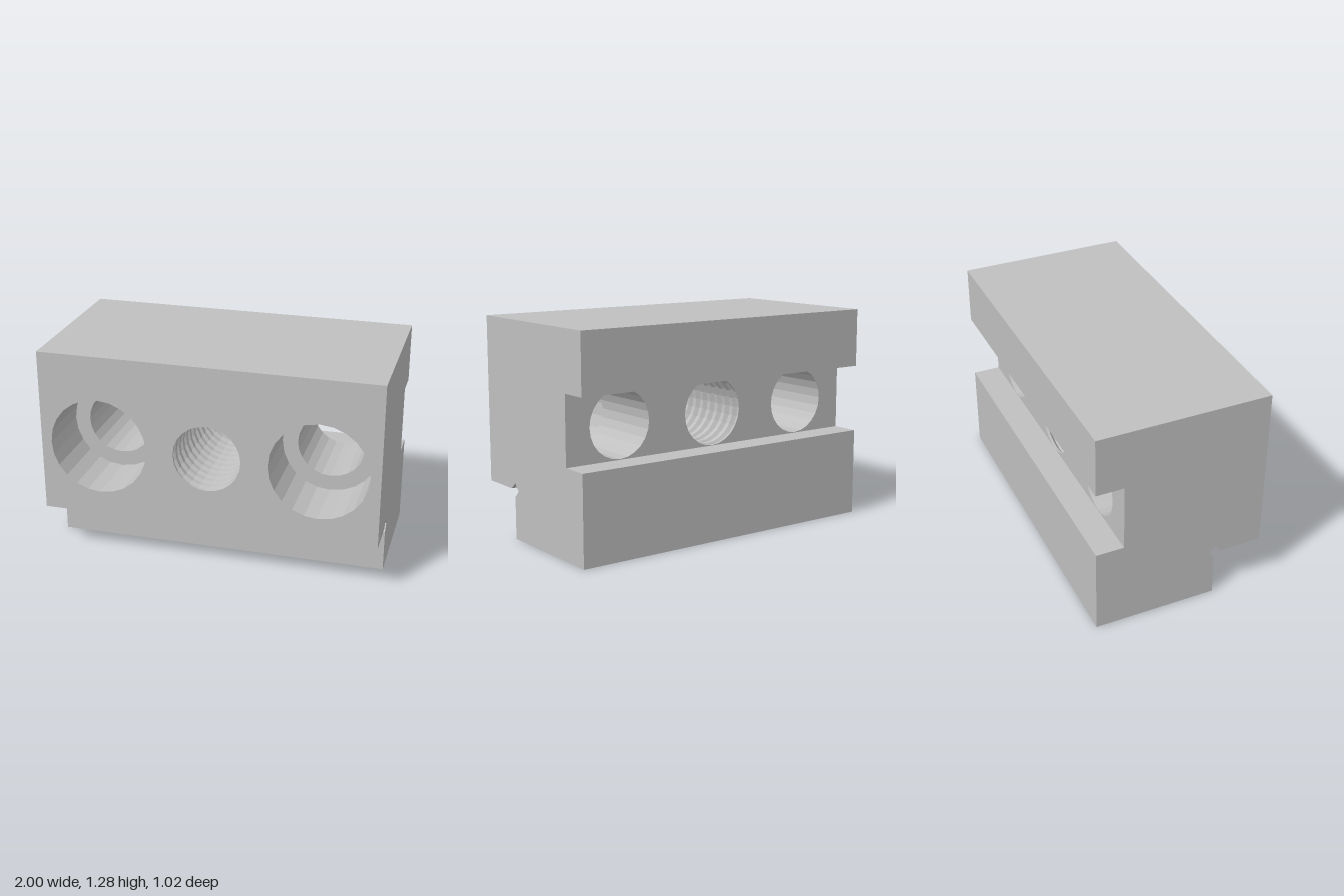
import * as THREE from 'three';

const HALF = 1, FRONT = 0.51, SLOT = -0.345;
const HOLE_Y = 0.727, SIDE_X = 0.65, BORE_R = 0.198, COUNTER_R = 0.29, THREAD_R = 0.2;
const SEGMENTS = 24;

// Side outline as (z, y), starting at the top front edge
const outline = [
  [FRONT, 1.28], [-0.51, 1.28], [-0.51, 0.93], [SLOT, 0.93], [SLOT, 0.525],
  [-0.51, 0.525], [-0.51, 0], [0.22, 0], [0.22, 0.25], [0.18, 0.29],
  [0.22, 0.333], [0.26, 0.295], [FRONT, 0.295],
];

export function createModel() {
  const group = new THREE.Group();
  const steel = new THREE.MeshStandardMaterial({ color: 0xc0c0c0 });
  steel.name = 'light grey steel';

  const add = (name, geometry) => {
    const mesh = new THREE.Mesh(geometry, steel);
    mesh.name = name;
    group.add(mesh);
    return mesh;
  };

  // Flat end faces
  for (const side of [-1, 1]) {
    const shape = new THREE.Shape(outline.map(([z, y]) => new THREE.Vector2(-side * z, y)));
    const end = new THREE.ShapeGeometry(shape).rotateY(side * Math.PI / 2).translate(side * HALF, 0, 0);
    add(side > 0 ? 'leftEnd' : 'rightEnd', end);
  }

  // Long walls following the outline; the two drilled walls are made below
  const corners = [];
  outline.forEach(([z0, y0], i) => {
    const [z1, y1] = outline[(i + 1) % outline.length];
    const drilled = z0 === z1 && (z0 === FRONT || z0 === SLOT);
    if (drilled) return;
    const a = [-HALF, y0, z0], b = [HALF, y0, z0], c = [HALF, y1, z1], d = [-HALF, y1, z1];
    corners.push(...a, ...b, ...c, ...a, ...c, ...d);
  });
  const walls = new THREE.BufferGeometry();
  walls.setAttribute('position', new THREE.Float32BufferAttribute(corners, 3));
  walls.computeVertexNormals();
  add('bodyWalls', walls);

  // Drilled walls: front face and slot floor
  const drilledWall = (bottom, top, sideRadius) => {
    const shape = new THREE.Shape([
      new THREE.Vector2(-HALF, bottom), new THREE.Vector2(HALF, bottom),
      new THREE.Vector2(HALF, top), new THREE.Vector2(-HALF, top),
    ]);
    for (const [x, r] of [[-SIDE_X, sideRadius], [0, THREAD_R], [SIDE_X, sideRadius]]) {
      shape.holes.push(new THREE.Path().absarc(x, HOLE_Y, r, 0, Math.PI * 2, true));
    }
    return new THREE.ShapeGeometry(shape, SEGMENTS / 2);
  };
  add('frontFace', drilledWall(0.295, 1.28, COUNTER_R).translate(0, 0, FRONT));
  add('slotFloor', drilledWall(0.525, 0.93, BORE_R).rotateY(Math.PI).translate(0, 0, SLOT));

  // Faceted hole lining from (radius, z) points running front to back
  const lining = (name, x, profile) => {
    const points = profile.map(([r, z]) => new THREE.Vector2(r, z));
    const geometry = new THREE.LatheGeometry(points, SEGMENTS).rotateX(Math.PI / 2).toNonIndexed();
    geometry.computeVertexNormals();
    add(name, geometry).position.set(x, HOLE_Y, 0);
  };

  // Counterbored bolt holes
  for (const side of [-1, 1]) {
    lining(side > 0 ? 'leftBoltHole' : 'rightBoltHole', side * SIDE_X,
      [[COUNTER_R, FRONT], [COUNTER_R, 0.13], [BORE_R, 0.13], [BORE_R, SLOT]]);
  }

  // Threaded centre hole: V grooves cut outwards between the crests
  const turns = 12, pitch = (FRONT - SLOT) / turns;
  const thread = [[THREAD_R, FRONT]];
  for (let i = 0; i < turns; i++) {
    const z = FRONT - i * pitch;
    thread.push([THREAD_R, z - pitch * 0.2], [THREAD_R + 0.028, z - pitch * 0.5], [THREAD_R, z - pitch * 0.8]);
  }
  thread.push([THREAD_R, SLOT]);
  lining('threadedHole', 0, thread);

  return group;
}
